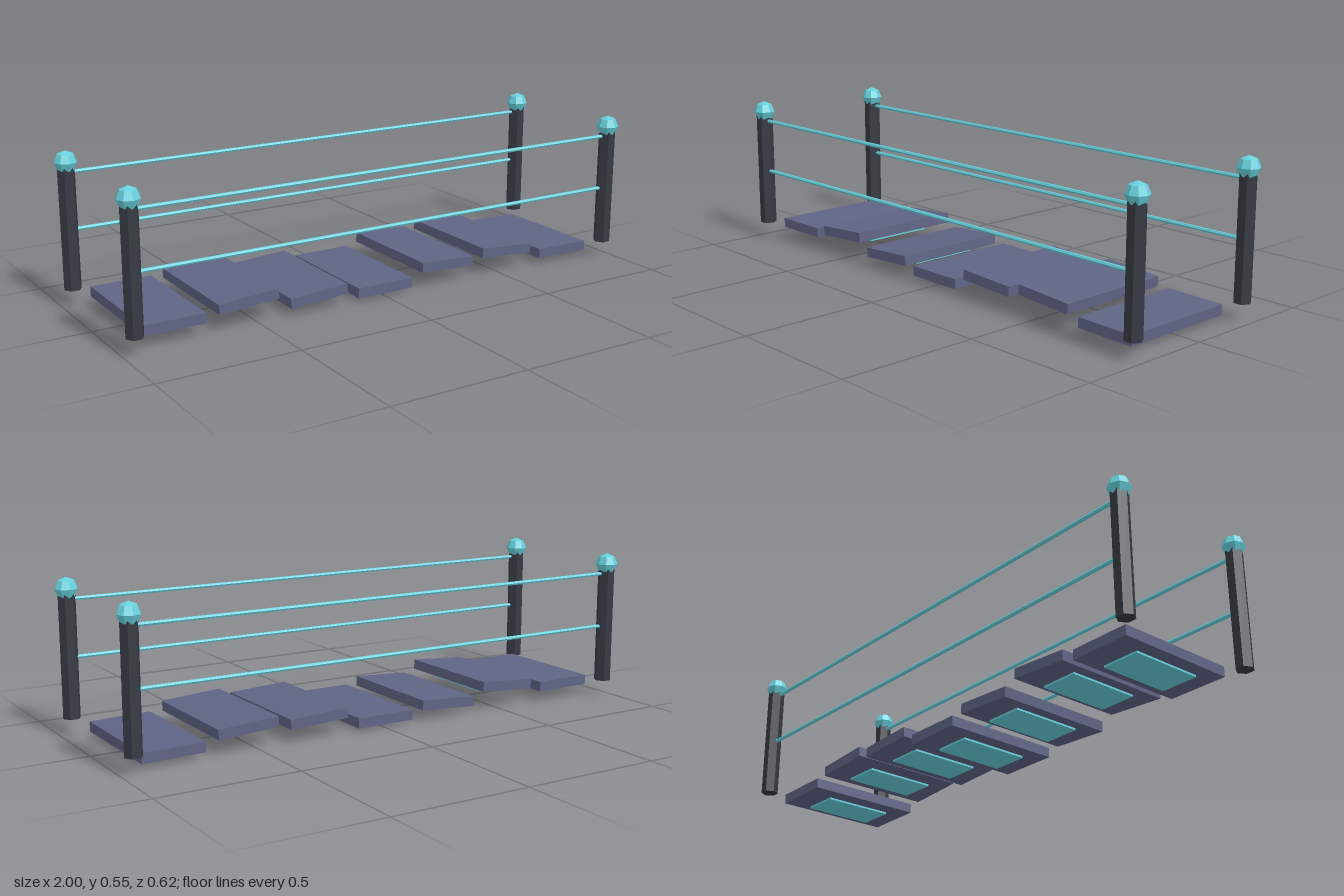
import * as THREE from 'three';

export function createModel() {
  const root = new THREE.Group();
  root.name = 'floatingBridge';

  const material = (name, color) => {
    const m = new THREE.MeshStandardMaterial({ color, flatShading: true });
    m.name = name;
    return m;
  };
  const slate = material('slate violet', 0x5f6485);
  const charcoal = material('charcoal', 0x363a43);
  const cyan = material('glowing cyan', 0x66d0dc);

  const add = (name, geometry, mat, x, y, z) => {
    const mesh = new THREE.Mesh(geometry, mat);
    mesh.name = name;
    mesh.position.set(x, y, z);
    root.add(mesh);
    return mesh;
  };

  // Floating slabs with a thin glow plate hovering beneath each: [height, tilt]
  const slabs = [
    [0.057, 0], [0.083, 0.07], [0.051, 0.06], [0.031, 0],
    [0.071, -0.05], [0.078, -0.068], [0.037, -0.018],
  ];
  const slabGeometry = new THREE.BoxGeometry(0.222, 0.036, 0.444);
  const plateGeometry = new THREE.BoxGeometry(0.138, 0.007, 0.266);
  slabs.forEach(([y, tilt], i) => {
    const x = (i - 3) * 0.268;
    add('slab', slabGeometry, slate, x, y, 0).rotation.z = tilt;
    add('glowPlate', plateGeometry, cyan, x, y - 0.0275, 0);
  });

  // Hexagonal posts with a corner along x, each topped with a faceted orb
  const postGeometry = new THREE.CylinderGeometry(0.031, 0.031, 0.435, 6).rotateY(Math.PI / 2);
  const orbGeometry = new THREE.SphereGeometry(0.04, 8, 4);
  const railGeometry = new THREE.CylinderGeometry(0.007, 0.007, 1.88, 6).rotateZ(Math.PI / 2);
  for (const z of [-0.268, 0.268]) {
    for (const x of [-0.96, 0.96]) {
      add('post', postGeometry, charcoal, x, 0.2785, z);
      add('orb', orbGeometry, cyan, x, 0.508, z);
    }
    // Two handrails on each side
    for (const y of [0.272, 0.472]) add('rail', railGeometry, cyan, 0, y, z);
  }

  return root;
}
